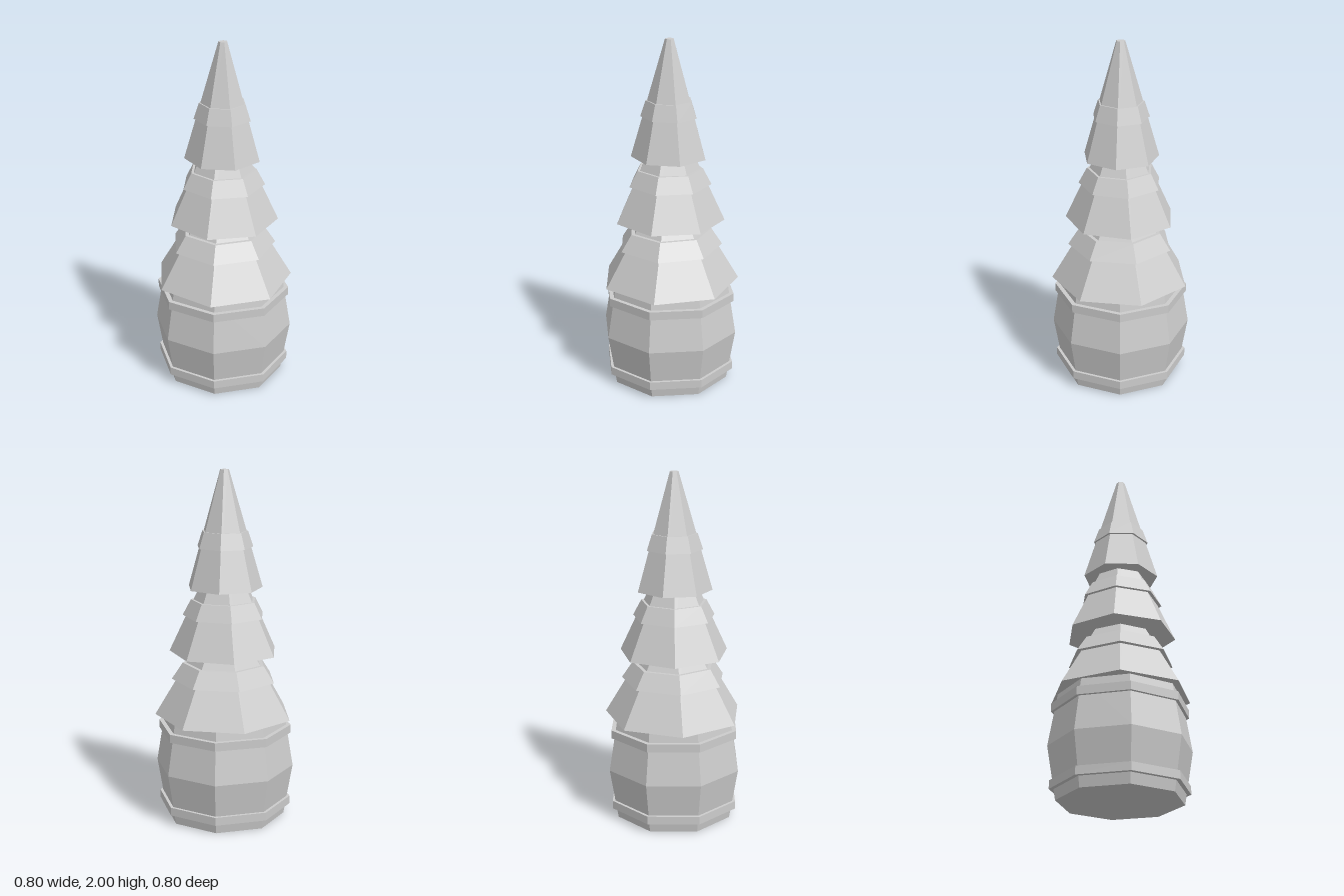
import * as THREE from 'three';

export function createModel() {
  const model = new THREE.Group();
  model.name = 'tieredTree';
  const grey = new THREE.MeshStandardMaterial({ color: 0xcccccc, flatShading: true });
  grey.name = 'plain grey';

  // Closed, faceted frustum between two heights
  function frustum(name, parent, sides, y0, r0, y1, r1, turn = 0) {
    const geometry = new THREE.CylinderGeometry(r1, r0, y1 - y0, sides, 1, false, turn);
    geometry.translate(0, (y0 + y1) / 2, 0);
    const mesh = new THREE.Mesh(geometry, grey);
    mesh.name = name;
    parent.add(mesh);
  }

  // Eight-sided barrel, bulging at its middle, with closed ends
  const barrel = new THREE.Group();
  barrel.name = 'barrel';
  const profile = [[0, 0], [0.35, 0], [0.4, 0.3], [0.35, 0.6], [0, 0.6]];
  const staves = new THREE.Mesh(
    new THREE.LatheGeometry(profile.map(([r, y]) => new THREE.Vector2(r, y)), 8), grey);
  staves.name = 'barrelBody';
  barrel.add(staves);

  // Straight hoops around the barrel
  frustum('lowerHoop', barrel, 8, 0.06, 0.385, 0.107, 0.385);
  frustum('upperHoop', barrel, 8, 0.497, 0.385, 0.545, 0.385);
  model.add(barrel);

  // Seven-sided foliage tiers: cone [y0, r0, y1, r1], collar [y0, r0, y1, r1], turn in degrees
  const tiers = [
    { name: 'lowerTier', cone: [0.6, 0.4, 1.2, 0.043], collar: [0.81, 0.303, 0.905, 0.24], turn: -2.1 },
    { name: 'middleTier', cone: [0.97, 0.315, 1.55, 0.045], collar: [1.18, 0.238, 1.27, 0.19], turn: -8.3 },
    { name: 'upperTier', cone: [1.34, 0.217, 2, 0.025], collar: [1.57, 0.162, 1.66, 0.132], turn: 25.71 },
  ];
  for (const { name, cone, collar, turn } of tiers) {
    const tier = new THREE.Group();
    tier.name = name;
    const angle = THREE.MathUtils.degToRad(turn);
    frustum('foliageCone', tier, 7, ...cone, angle);
    frustum('foliageCollar', tier, 7, ...collar, angle);
    model.add(tier);
  }
  return model;
}
